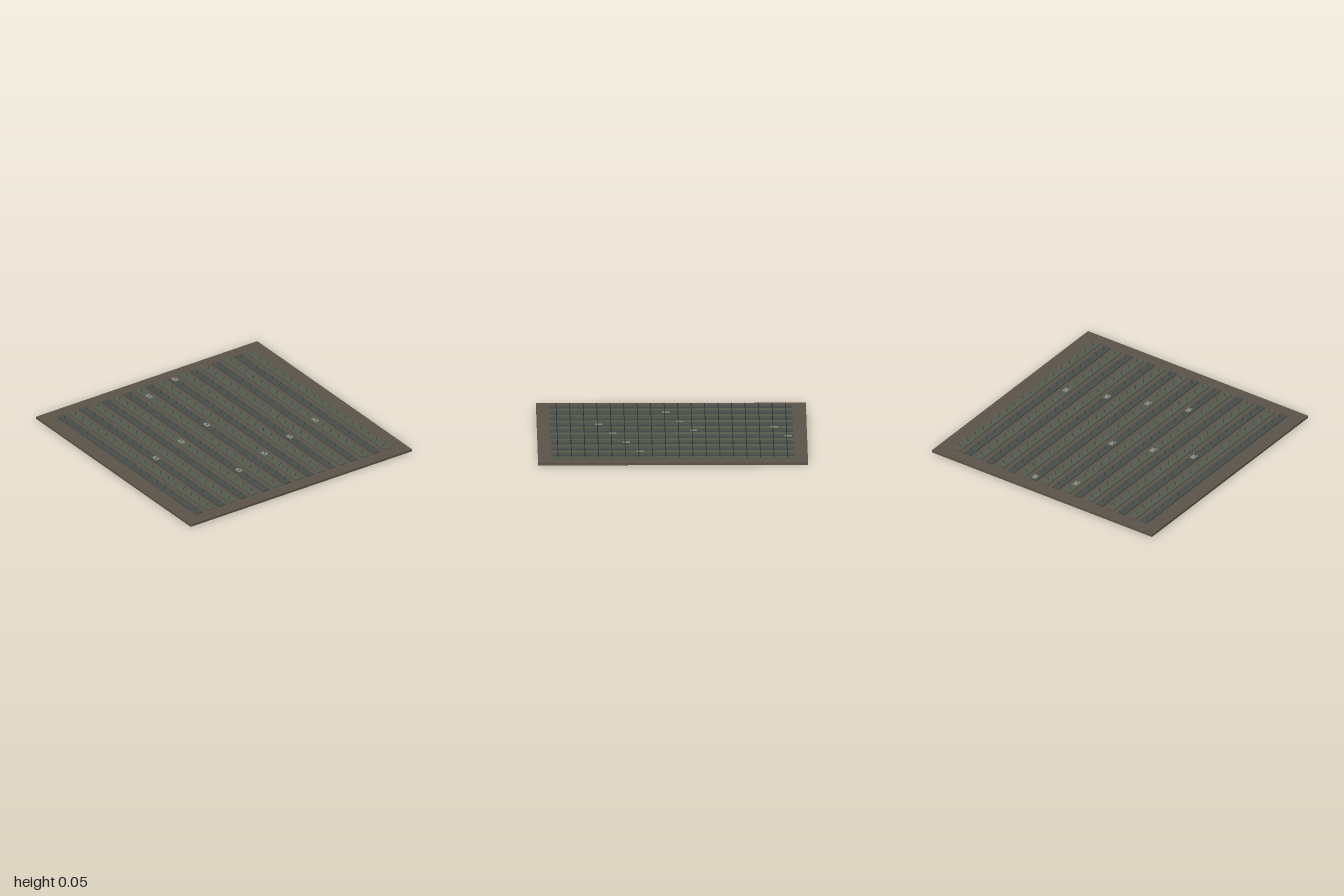
import * as THREE from 'three';

const mat = (color) => new THREE.MeshStandardMaterial({ color });

export function createModel() {
  const model = new THREE.Group();
  const soil = mat(0x5a5348);
  const bedDark = mat(0x484c48);
  const bedGreen = mat(0x545a4c);
  const sproutMat = mat(0x2c3a2c);
  const tagMat = mat(0x86877c);

  const box = (name, w, h, d, x, y, z, material) => {
    const m = new THREE.Mesh(new THREE.BoxGeometry(w, h, d), material);
    m.name = name;
    m.position.set(x, y, z);
    model.add(m);
    return m;
  };

  // Flat ground slab
  box('ground', 2, 0.018, 2, 0, 0.009, 0, soil);

  // Thin sprout, leaning slightly to the left and front
  const sproutGeo = new THREE.CylinderGeometry(0.002, 0.003, 0.03, 4);
  sproutGeo.translate(0, 0.015, 0);

  // Alternating planting beds, each with a line of sprouts
  const count = 18;
  for (let i = 0; i < count; i++) {
    const x = -0.85 + i * 0.1;
    box('bed', 0.06, 0.012, 1.8, x, 0.021, 0, i % 2 ? bedGreen : bedDark);
    const row = new THREE.Group();
    row.name = 'sproutRow';
    for (let j = 0; j < count; j++) {
      const sprout = new THREE.Mesh(sproutGeo, sproutMat);
      sprout.name = 'sprout';
      sprout.position.set(x - 0.002, 0.024, -0.85 + j * 0.1);
      sprout.rotation.set(0.1, 0, -0.22);
      row.add(sprout);
    }
    model.add(row);
  }

  // Small pale plates scattered over the beds
  const plates = [
    [-0.145, -0.76], [0.157, -0.86], [-0.043, -0.16], [-0.343, -0.06], [-0.643, 0.04],
    [0.657, 0.24], [0.357, 0.34], [0.057, 0.44], [-0.243, 0.54],
  ];
  for (const [x, z] of plates) box('plate', 0.036, 0.003, 0.054, x, 0.0285, z, tagMat);

  return model;
}
